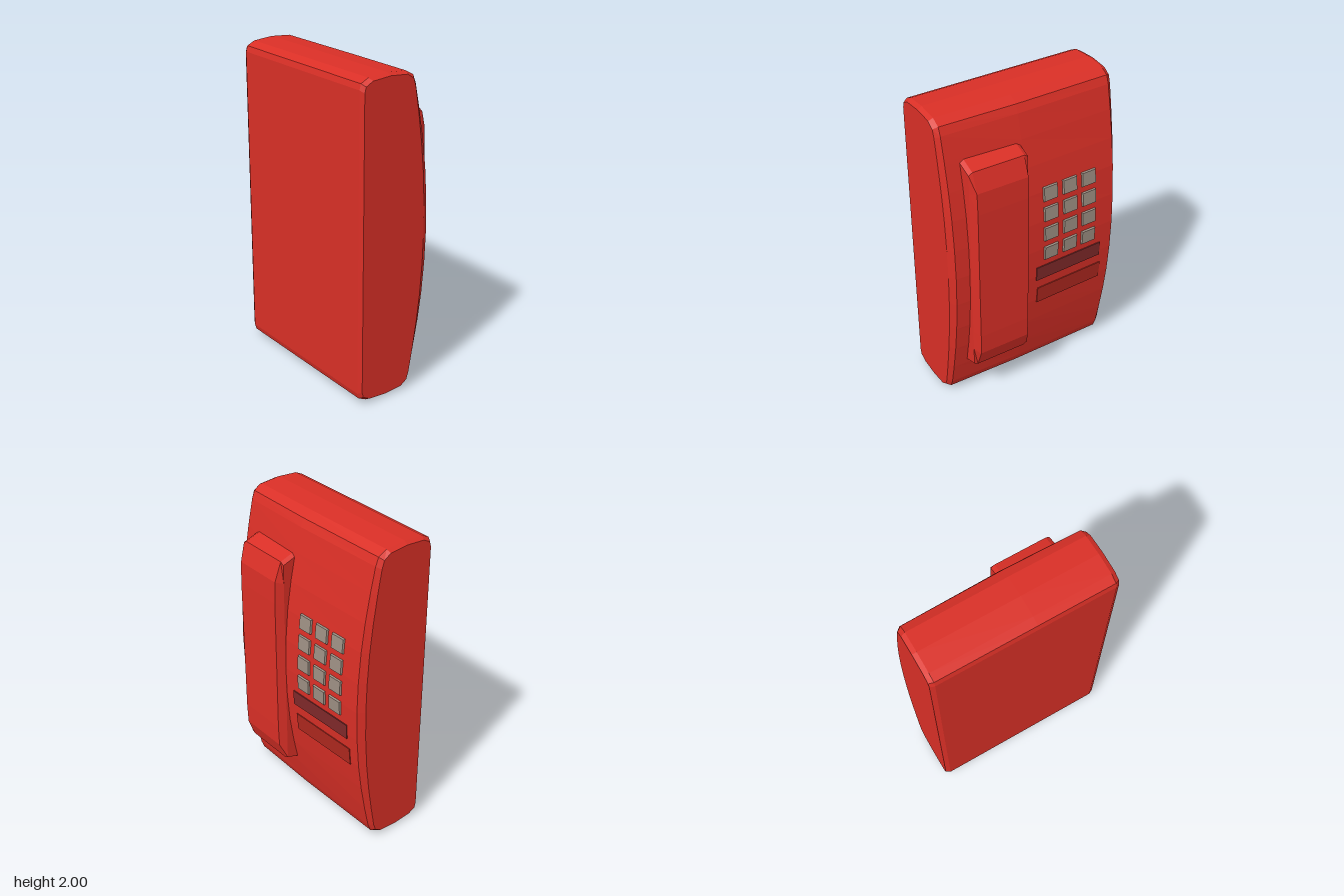
import * as THREE from 'three';

const mat = (name, color, flatShading = true) => {
  const m = new THREE.MeshStandardMaterial({ color, flatShading });
  m.name = name;
  return m;
};

// Upper half of the housing outline, from front centre over the top to the back: [x, height above middle]
const HOUSING = [[0.217, 0], [0.211, 0.2], [0.195, 0.4], [0.17, 0.58], [0.137, 0.76], [0.105, 0.91],
  [0.085, 0.96], [0.03, 0.99], [-0.1, 1], [-0.23, 0.99], [-0.28, 0.965], [-0.29, 0.93]];
const HANDSET = [[0.29, 0], [0.29, 0.45], [0.285, 0.59], [0.24, 0.71], [0.14, 0.745], [0.06, 0.745]];

// Mirrors a half outline about the middle height into a closed anticlockwise loop
const mirrorLoop = half => [...half, ...half.slice(1).reverse().map(([x, y]) => [x, -y])];

// Closed skin through loops stacked along z, with fan caps
function loft(rings, midY) {
  const n = rings[0].points.length, pos = [], idx = [];
  for (const r of rings) for (const [x, y] of r.points) pos.push(x, y + midY, r.z);
  for (let i = 0; i < rings.length - 1; i++) {
    for (let j = 0; j < n; j++) {
      const k = (j + 1) % n, a = i * n + j, b = i * n + k;
      idx.push(a, b, b + n, a, b + n, a + n);
    }
  }
  const last = (rings.length - 1) * n, c = rings.length * n;
  pos.push(0, midY, rings[0].z, 0, midY, rings[rings.length - 1].z);
  // keep the cap centres inside their outlines
  [0, rings.length - 1].forEach((r, e) => {
    pos[(c + e) * 3] = rings[r].points.reduce((s, p) => s + p[0], 0) / n;
  });
  for (let j = 0; j < n; j++) {
    const k = (j + 1) % n;
    idx.push(c, k, j, c + 1, last + j, last + k);
  }
  const g = new THREE.BufferGeometry();
  g.setAttribute('position', new THREE.Float32BufferAttribute(pos, 3));
  g.setIndex(idx);
  g.computeVertexNormals();
  return g;
}

// The front is highest beside the handset and falls away to both sides
const RIDGE = 0.07, RIM = 0.555;
const crown = z => 0.023 * (1 - Math.abs(z - RIDGE) / (z > RIDGE ? RIM - RIDGE : RIM + RIDGE));

function faceX(y, z) {
  const t = Math.abs(y - 1);
  const i = HOUSING.findIndex(p => p[1] > t);
  const [x0, t0] = HOUSING[i - 1], [x1, t1] = HOUSING[i];
  const x = x0 + (x1 - x0) * (t - t0) / (t1 - t0);
  return x + crown(z) * x / 0.217;
}

function housingRing(z) {
  const points = HOUSING.map(([x, y]) => [x + crown(z) * Math.max(0, x) / 0.217, y]);
  return { z, points: mirrorLoop(points) };
}

function housingEnd(z) {
  const points = HOUSING.map(([x, y]) => [x > 0 ? x * 0.8 : x * 0.95, y * 0.985]);
  return { z, points: mirrorLoop(points) };
}

function handsetRing(z, inset) {
  const points = HANDSET.map(([x, y]) => [Math.min(x, 0.29 - inset), y - inset * 0.3]);
  return { z, points: mirrorLoop(points) };
}

export function createModel() {
  const phone = new THREE.Group();
  phone.name = 'wallPhone';
  const red = mat('red', 0xd92f26);
  const grey = mat('keyGrey', 0x9c8e82);
  const maroon = mat('maroon', 0x80292a);
  const darkRed = mat('darkRed', 0xb0281f);

  const add = (name, geometry, material, parent = phone) => {
    const m = new THREE.Mesh(geometry, material);
    m.name = name;
    parent.add(m);
    return m;
  };

  // Lays a part on the curved front, tilted to match it
  const lay = (mesh, y, z, lift) => {
    const d = 0.04;
    const slope = (faceX(y + d, z) - faceX(y - d, z)) / (2 * d);
    const turn = (faceX(y, z + d) - faceX(y, z - d)) / (2 * d);
    mesh.position.set(faceX(y, z) + lift, y, z);
    mesh.rotation.set(0, Math.atan(turn), -Math.atan(slope));
  };

  // Housing
  add('housing', loft([housingEnd(-0.583), housingRing(-RIM), housingRing(RIDGE),
    housingRing(RIM), housingEnd(0.583)], 1), red);

  // Handset with bevelled edges
  add('handset', loft([handsetRing(0.08, 0.05), handsetRing(0.105, 0),
    handsetRing(0.44, 0), handsetRing(0.465, 0.05)], 1.005), red);

  // Keypad: four rows of three slightly tapered keys
  const keypad = new THREE.Group();
  keypad.name = 'keypad';
  phone.add(keypad);
  const keyGeo = new THREE.BoxGeometry(0.02, 0.1, 0.105);
  const p = keyGeo.attributes.position;
  for (let i = 0; i < p.count; i++) {
    if (p.getX(i) > 0) p.setXYZ(i, p.getX(i), p.getY(i) * 0.9, p.getZ(i) * 0.9);
  }
  for (const y of [1.38, 1.243, 1.103, 0.963]) {
    for (const z of [-0.092, -0.232, -0.37]) lay(add('key', keyGeo, grey, keypad), y, z, 0.002);
  }

  // Label strips below the keys
  lay(add('labelStrip', new THREE.BoxGeometry(0.009, 0.1, 0.48), maroon), 0.818, -0.23, 0.001);
  lay(add('lowerStrip', new THREE.BoxGeometry(0.009, 0.12, 0.48), darkRed), 0.638, -0.245, 0.001);

  return phone;
}
